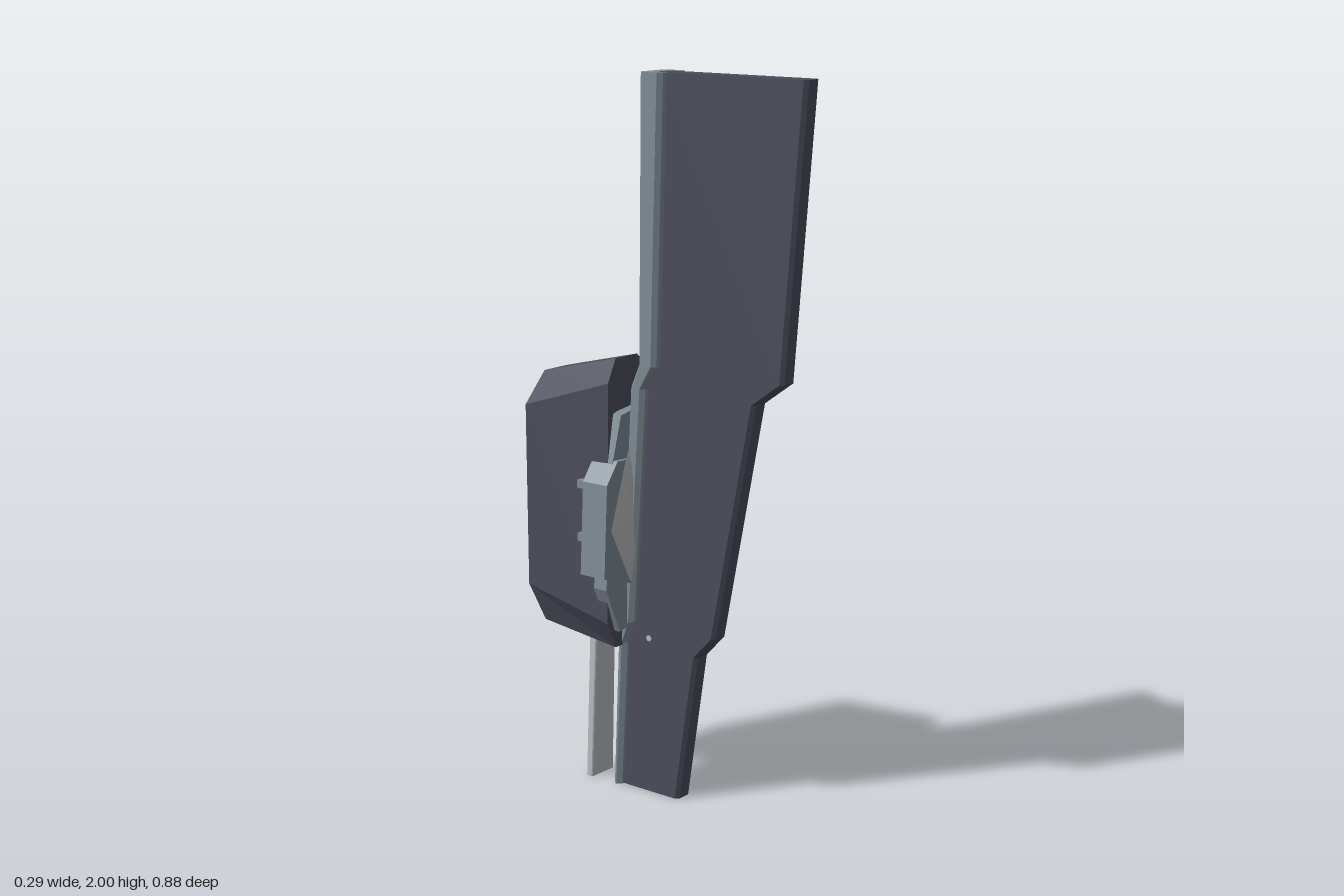
import * as THREE from 'three';

const mat = (name, color, flatShading = true) => {
  const m = new THREE.MeshStandardMaterial({ color, flatShading });
  m.name = name;
  return m;
};

// Closed solid through equally long rings of [x, y, z]; winding is corrected by signed volume.
function loft(rings) {
  const tris = [];
  const n = rings[0].length;
  for (let r = 0; r < rings.length - 1; r++) {
    for (let i = 0; i < n; i++) {
      const j = (i + 1) % n;
      const a = rings[r][i], b = rings[r][j], c = rings[r + 1][j], d = rings[r + 1][i];
      tris.push([a, b, c], [a, c, d]);
    }
  }
  const first = rings[0], last = rings[rings.length - 1];
  for (let i = 1; i < n - 1; i++) {
    tris.push([first[0], first[i + 1], first[i]], [last[0], last[i], last[i + 1]]);
  }
  let volume = 0;
  for (const [a, b, c] of tris) {
    volume += new THREE.Vector3(...a).dot(new THREE.Vector3(...b).cross(new THREE.Vector3(...c)));
  }
  if (volume < 0) tris.forEach((t) => t.reverse());
  const g = new THREE.BufferGeometry();
  g.setAttribute('position', new THREE.Float32BufferAttribute(tris.flat(2), 3));
  g.computeVertexNormals();
  return g;
}

// Chamfered rectangle at height y
function section(y, x0, x1, z0, z1, c) {
  return [[x0, z0 + c], [x0 + c, z0], [x1 - c, z0], [x1, z0 + c],
    [x1, z1 - c], [x1 - c, z1], [x0 + c, z1], [x0, z1 - c]].map(([x, z]) => [x, y, z]);
}

// Outline in x and y, extruded between two depths
function slab(points, zBack, zFront) {
  const s = new THREE.Shape(points.map(([x, y]) => new THREE.Vector2(x, y)));
  return new THREE.ExtrudeGeometry(s, { depth: zFront - zBack, bevelEnabled: false }).translate(0, 0, zBack);
}

export function createModel() {
  const model = new THREE.Group();
  model.name = 'bladeWeapon';
  const dark = mat('darkSlate', 0x4b4c5b);
  const steel = mat('blueGreySteel', 0x7f8c95);
  const light = mat('paleMetal', 0xb9bcbe);

  const add = (name, geometry, material) => {
    const m = new THREE.Mesh(geometry, material);
    m.name = name;
    model.add(m);
    return m;
  };
  const box = (name, w, h, d, x, y, z, material) =>
    add(name, new THREE.BoxGeometry(w, h, d).translate(x, y, z), material);

  // Height, blade front, spine front, spine back
  const profile = [
    [0, 0.03, -0.165, -0.192],
    [0.425, 0.095, -0.14, -0.172],
    [0.49, 0.155, -0.115, -0.16],
    [1.155, 0.285, -0.07, -0.12],
    [1.22, 0.375, -0.03, -0.09],
    [2, 0.44, -0.005, -0.08],
  ];

  // Broad stepped blade and the spine along its rear edge
  add('blade', loft(profile.map(([y, f, s, b]) => section(y, -0.015, 0.043, (s + b) / 2, f, 0.01))), dark);
  add('spine', loft(profile.map(([y, , s, b], i) => {
    const w = 0.047 + 0.002 * i;
    return section(y, 0.013 - w, 0.013 + w, b, s, 0.012);
  })), steel);

  // Faceted rear housing, lofted from front to back
  add('housing', loft([
    [[-0.04, 1.23, -0.165], [0.05, 1.23, -0.165], [0.1, 1.17, -0.15], [0.065, 0.49, -0.14],
      [0.04, 0.42, -0.15], [-0.065, 0.42, -0.15], [-0.11, 0.5, -0.14], [-0.09, 1.17, -0.15]],
    [[-0.04, 1.165, -0.425], [0.055, 1.165, -0.425], [0.113, 1.075, -0.443], [0.08, 0.56, -0.435],
      [0.04, 0.45, -0.41], [-0.065, 0.45, -0.41], [-0.105, 0.56, -0.435], [-0.1, 1.075, -0.443]],
  ]), dark);

  // Angular guard: wide middle plate with thinner collar above and below
  add('guard', slab([[-0.135, 0.9], [-0.09, 0.96], [0.09, 0.95], [0.145, 0.77],
    [0.1, 0.65], [-0.02, 0.6], [-0.148, 0.64]], -0.203, -0.117), steel);
  add('guardCollar', slab([[-0.1, 0.94], [-0.06, 1.08], [0.05, 1.1], [0.1, 0.94],
    [0.095, 0.65], [0.07, 0.5], [-0.07, 0.47], [-0.125, 0.6]], -0.175, -0.13), steel);

  // Pale faceted shield in front of the guard
  add('shield', loft([
    [[-0.12, 0.77, -0.116], [-0.06, 0.95, -0.116], [0, 1.06, -0.128],
      [0.07, 0.93, -0.116], [0.09, 0.78, -0.116], [-0.04, 0.61, -0.116]],
    [[-0.07, 0.78, -0.106], [-0.045, 0.9, -0.106], [0, 0.96, -0.106],
      [0.045, 0.9, -0.106], [0.05, 0.78, -0.106], [-0.03, 0.69, -0.106]],
  ]), light);

  // Small clamps behind the guard
  for (const x of [-0.11, 0.1]) {
    for (const y of [0.735, 0.885]) box('clamp', 0.022, 0.022, 0.045, x, y, -0.215, steel);
    box('clampRail', 0.02, 0.25, 0.02, x * 0.97, 0.76, -0.207, steel);
  }

  // Flat tang hanging below the housing
  add('tang', loft([
    section(0, -0.035, 0.058, -0.288, -0.266, 0.003),
    section(0.45, -0.03, 0.053, -0.275, -0.25, 0.003),
    section(0.5, -0.03, 0.053, -0.27, -0.24, 0.003),
  ]), light);

  // Pin through the lower blade
  add('bladePin', new THREE.CylinderGeometry(0.009, 0.009, 0.064, 6)
    .rotateZ(Math.PI / 2).translate(0.014, 0.45, -0.07), light);

  return model;
}
